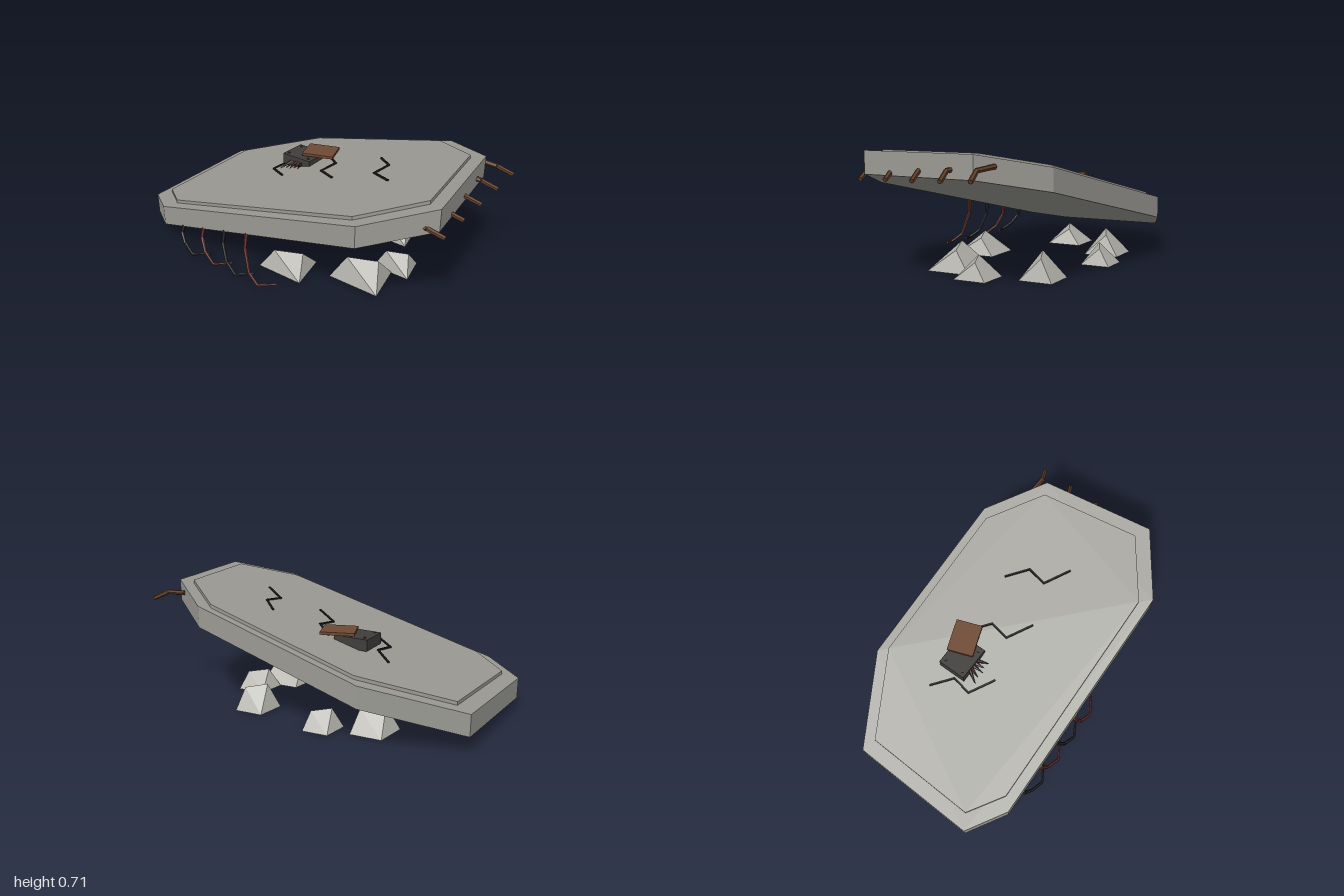
import * as THREE from 'three';
import { ConvexGeometry } from 'three/addons/geometries/ConvexGeometry.js';

const V = (x, y, z) => new THREE.Vector3(x, y, z);
const material = (name, color) => {
  const m = new THREE.MeshStandardMaterial({ color });
  m.name = name;
  return m;
};

export function createModel() {
  const model = new THREE.Group();
  const stone = material('stone', 0x9b9a94);
  const rubble = material('rubble', 0xb0afa8);
  const dark = material('dark iron', 0x2a2a2a);
  const iron = material('box iron', 0x403e3c);
  const red = material('dark red', 0x6b3530);
  const brown = material('wood', 0x6f4a33);
  const bark = material('bark', 0x623f28);
  const black = material('crack', 0x1c1c1c);

  // underside of the tilted slab
  const plane = (x, z) => 0.34 + 0.26 * x - 0.05 * z;
  const surface = (x, z) => plane(x, z) + 0.143;

  const add = (geometry, mat, name, parent = model) => {
    const mesh = new THREE.Mesh(geometry, mat);
    mesh.name = name;
    parent.add(mesh);
    return mesh;
  };

  // round bar from a to b
  const bar = (a, b, ra, rb, mat, name, parent) => {
    const d = b.clone().sub(a);
    const g = new THREE.CylinderGeometry(rb, ra, d.length(), 6).toNonIndexed();
    g.computeVertexNormals();
    const mesh = add(g, mat, name, parent);
    mesh.position.copy(a).add(b).multiplyScalar(0.5);
    mesh.quaternion.setFromUnitVectors(V(0, 1, 0), d.normalize());
  };

  // chain of bars that tapers towards its end
  const limb = (points, r0, r1, mat, name) => {
    const group = new THREE.Group();
    group.name = name;
    const n = points.length - 1;
    const r = (i) => r0 + (r1 - r0) * i / n;
    for (let i = 0; i < n; i++) bar(points[i], points[i + 1], r(i), r(i + 1), mat, name + 'Segment', group);
    model.add(group);
  };

  // upright prism sheared onto the slope
  const slab = (outline, bottom, height, name) => {
    const shape = new THREE.Shape(outline.map(([x, z]) => new THREE.Vector2(x, -z)));
    const g = new THREE.ExtrudeGeometry(shape, { depth: height, bevelEnabled: false });
    g.rotateX(-Math.PI / 2);
    const p = g.attributes.position;
    for (let i = 0; i < p.count; i++) p.setY(i, p.getY(i) + bottom + plane(p.getX(i), p.getZ(i)));
    g.computeVertexNormals();
    add(g, stone, name);
  };
  slab([[-1, 0.41], [-0.77, 0.555], [0.64, 0.555], [0.96, 0.31],
    [0.865, -0.345], [0.54, -0.57], [-0.48, -0.61], [-0.98, -0.34]], 0, 0.123, 'slab');
  slab([[-0.915, 0.36], [-0.71, 0.495], [0.58, 0.495], [0.875, 0.265],
    [0.79, -0.31], [0.49, -0.52], [-0.435, -0.555], [-0.895, -0.31]], 0.115, 0.028, 'raisedPanel');

  // zigzag cracks
  const zigzag = [[-0.465, -0.225], [-0.355, -0.13], [-0.375, -0.015], [-0.235, 0.07]];
  for (const dx of [0, 0.372, 0.743]) {
    const pts = zigzag.map(([x, z]) => V(x + dx, surface(x + dx, z) + 0.003, z));
    for (let i = 0; i < 3; i++) {
      const g = new THREE.BoxGeometry(0.011, 0.009, pts[i].distanceTo(pts[i + 1]) + 0.008);
      const crack = add(g, black, 'crack');
      crack.position.copy(pts[i]).add(pts[i + 1]).multiplyScalar(0.5);
      crack.lookAt(pts[i + 1]);
    }
  }

  // box with corner studs and a lid pushed aside
  add(new THREE.BoxGeometry(0.205, 0.065, 0.17), iron, 'box').position.set(-0.24, 0.451, -0.155);
  for (const x of [-0.315, -0.165]) {
    for (const z of [-0.215, -0.095]) {
      add(new THREE.CylinderGeometry(0.007, 0.007, 0.01, 6), bark, 'stud').position.set(x, 0.486, z);
    }
  }
  const lid = add(new THREE.BoxGeometry(0.192, 0.016, 0.155), brown, 'lid');
  lid.position.set(-0.15, 0.502, -0.203);
  lid.rotation.y = 0.345;

  // spikes reaching out of the box
  [[-0.275, -0.315], [-0.26, -0.278], [-0.24, -0.242], [-0.222, -0.215], [-0.205, -0.18]].forEach(([x0, x1], i) => {
    bar(V(x0, 0.448, -0.075), V(x1, surface(x1, -0.008) + 0.012, -0.008 - 0.008 * (i % 2)),
      0.012, 0.001, i % 2 ? red : dark, 'spike');
  });

  // tentacles hanging from the front edge
  for (let i = 0; i < 4; i++) {
    const x = -0.615 + i * 0.173;
    const top = plane(x, 0.545) + 0.01;
    limb([V(x + 0.006, top, 0.545), V(x, 0.115 + i * 0.028, 0.558), V(x + 0.045, 0.065, 0.582),
      V(x + 0.125, 0.025, 0.602), V(x + 0.222, 0.042, 0.545)], 0.012, 0.007, i % 2 ? red : dark, 'tentacle');
  }

  // roots bending out of the high end
  [[-0.44, 0.6], [-0.252, 0.587], [-0.065, 0.575], [0.122, 0.567], [0.31, 0.555]].forEach(([z, y]) => {
    limb([V(0.78, y + 0.045, z + 0.036), V(0.908, y + 0.037, z + 0.036), V(0.99, y - 0.004, z)],
      0.014, 0.013, bark, 'root');
  });

  // ridged rocks: x, z, scale, height
  const base = [[-0.15, 0.11], [0.16, 0.11], [0.1, -0.13], [-0.12, -0.11]];
  for (const [x, z, s, h] of [[-0.55, 0.05, 0.85, 0.11], [-0.42, -0.31, 0.83, 0.14], [-0.16, -0.42, 0.68, 0.11],
    [0.02, 0.31, 0.97, 0.115], [0.32, -0.36, 0.76, 0.14], [0.42, 0.14, 1.04, 0.14], [0.515, -0.07, 0.75, 0.11]]) {
    const pts = base.map(([bx, bz]) => V(x + bx * s, 0, z + bz * s));
    pts.push(V(x - 0.065 * s, h, z + 0.065 * s), V(x + 0.08 * s, h * 0.87, z - 0.025 * s));
    add(new ConvexGeometry(pts), rubble, 'rock');
  }
  return model;
}
